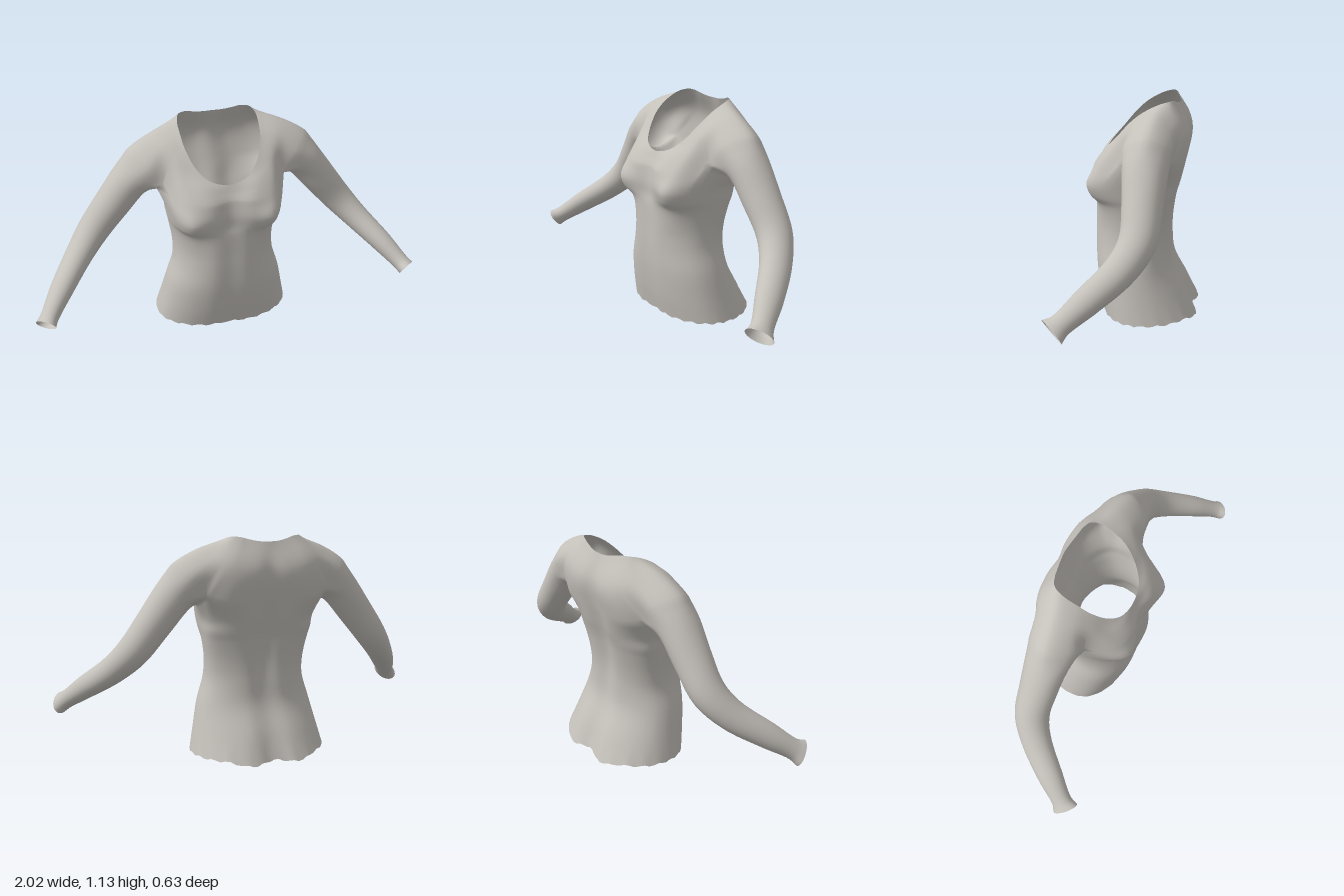
import * as THREE from 'three';
import { mergeGeometries, mergeVertices } from 'three/addons/utils/BufferGeometryUtils.js';

const N = 5; // subdivisions between neighbouring control points around a ring
const V = (x, y, z) => new THREE.Vector3(x, y, z);
const flip = (p) => V(-p.x, p.y, p.z);

// Left half of a ring (centre front to centre back) -> dense symmetric loop
function fullRing(half) {
  const pts = [...half, ...half.slice(1, -1).reverse().map(flip)];
  const curve = new THREE.CatmullRomCurve3(pts, true);
  const count = pts.length * N;
  return Array.from({ length: count }, (_, j) => curve.getPoint(j / count));
}

// Smooth rows through control rings, from ring index a to ring index b
function loft(rings, a, b, steps) {
  const columns = rings[0].map((_, j) => new THREE.CatmullRomCurve3(rings.map((r) => r[j])));
  const rows = [];
  for (let i = 0; i <= steps; i++) {
    const t = (a + ((b - a) * i) / steps) / (rings.length - 1);
    rows.push(columns.map((c) => c.getPoint(t)));
  }
  return rows;
}

// Surface from rows of points that close around
function skin(rows) {
  const w = rows[0].length, index = [];
  for (let i = 0; i < rows.length - 1; i++) {
    for (let j = 0; j < w; j++) {
      const k = (j + 1) % w, p = i * w, q = p + w;
      index.push(p + j, q + j, q + k, p + j, q + k, p + k);
    }
  }
  const g = new THREE.BufferGeometry().setFromPoints(rows.flat());
  g.setIndex(index);
  return g;
}

// Ring one step before the first, for a smooth start
const before = (r, next) => r.map((p, j) => p.clone().multiplyScalar(2).sub(next[j]));

// Yoke rings: front centre, front fold, over the shoulder, back fold, back centre
const neckRim = [
  [0, 0.88, 0.15], [0.09, 0.9, 0.135], [0.15, 0.95, 0.09], [0.19, 1.03, 0.02],
  [0.2, 1.08, -0.04], [0.2, 1.122, -0.12], [0.18, 1.135, -0.17], [0.14, 1.133, -0.19],
  [0.1, 1.122, -0.2], [0.05, 1.112, -0.21], [0, 1.11, -0.215],
];
const yokeMiddle = [
  [0, 0.845, 0.165], [0.12, 0.87, 0.165], [0.21, 0.92, 0.105], [0.26, 0.98, 0.045],
  [0.3, 1.045, -0.02], [0.33, 1.078, -0.11], [0.29, 1.04, -0.195], [0.23, 1.0, -0.245],
  [0.16, 0.98, -0.265], [0.08, 0.97, -0.27], [0, 0.97, -0.258],
];
const yokeEdge = [
  [0, 0.8, 0.185], [0.11, 0.8, 0.21], [0.22, 0.81, 0.18], [0.31, 0.85, 0.05],
  [0.39, 0.95, 0.025], [0.465, 1.0, -0.09], [0.4, 0.95, -0.2], [0.32, 0.85, -0.195],
  [0.22, 0.82, -0.235], [0.11, 0.82, -0.25], [0, 0.82, -0.235],
];
const underarm = V(0.335, 0.8, -0.075);

// Body levels: y, half width, side z, front z, front dip, bust fullness, back z, back dip
const levels = [
  [0.72, 0.297, -0.07, 0.225, 0.03, 1.03, -0.225, 0.02],
  [0.66, 0.288, -0.07, 0.215, 0.02, 1.0, -0.207, 0.02],
  [0.61, 0.28, -0.05, 0.203, 0.002, 0.86, -0.195, 0.02],
  [0.5, 0.265, -0.02, 0.203, 0, 0.78, -0.178, 0.018],
  [0.4, 0.268, 0, 0.205, 0, 0.78, -0.175, 0.012],
  [0.28, 0.303, 0, 0.202, 0, 0.8, -0.188, 0.005],
  [0.14, 0.335, -0.02, 0.186, 0, 0.8, -0.258, 0.012],
  [0.028, 0.36, -0.04, 0.165, 0, 0.8, -0.32, 0.026],
];
function bodyRing([y, w, side, front, dipF, full, back, dipB]) {
  const f = (k) => side + (front - side) * k;
  const b = (k) => side + (back - side) * k;
  return fullRing([
    V(0, y, front - dipF), V(0.36 * w, y, front), V(0.7 * w, y, f(full)),
    V(0.93 * w, y, f(full - 0.36)), V(w, y, side), V(0.93 * w, y, b(0.42)),
    V(0.7 * w, y, b(0.78)), V(0.34 * w, y, back), V(0, y, back + dipB),
  ]);
}

// Sleeve stations: centre x, y, z, half height, half depth
const stations = [
  [0.45, 0.85, -0.085, 0.1, 0.108], [0.55, 0.725, -0.085, 0.09, 0.096],
  [0.66, 0.585, -0.075, 0.08, 0.088], [0.75, 0.487, -0.01, 0.068, 0.078],
  [0.865, 0.378, 0.125, 0.056, 0.066], [0.94, 0.3, 0.225, 0.044, 0.054],
  [0.962, 0.278, 0.256, 0.045, 0.07],
];
function sleeveRing([x, y, z, high, deep], i) {
  const a = stations[Math.max(i - 1, 0)], b = stations[Math.min(i + 1, stations.length - 1)];
  const d = V(b[0] - a[0], b[1] - a[1], b[2] - a[2]).normalize();
  const up = V(-d.y, d.x, 0).normalize();
  const fore = d.clone().cross(up);
  return Array.from({ length: 6 * N }, (_, j) => {
    const t = (Math.PI * 2) / 3 - (Math.PI * 2 * j) / (6 * N);
    return V(x, y, z).addScaledVector(up, high * Math.cos(t)).addScaledVector(fore, deep * Math.sin(t));
  });
}

export function createModel() {
  const [rim, middle, edge] = [neckRim, yokeMiddle, yokeEdge].map((r) => fullRing(r.map((p) => V(...p))));
  const bodyRings = levels.map(bodyRing);
  const sleeveRings = stations.map(sleeveRing);

  // Uneven hem, lowest at the back
  bodyRings.at(-1).forEach((p, j) => {
    p.y += 0.005 * Math.sin(j * 1.9) - 0.022 * Math.max(0, (-p.z - 0.27) / 0.05);
    p.y = Math.max(p.y, 0);
  });

  // Yoke, its edge flowing on into the body and the sleeves
  const next = edge.map((_, j) => {
    if (j <= 3 * N) return bodyRings[0][j];
    if (j < 7 * N) return sleeveRings[0][j - 3 * N];
    if (j <= 13 * N) return bodyRings[0][j - 2 * N];
    if (j < 17 * N) return flip(sleeveRings[0][17 * N - j]);
    return bodyRings[0][j - 4 * N];
  });
  const yoke = loft([rim, middle, edge, next], 0, 2, 14);

  // Seam under the arm, front to back
  const arc = new THREE.CatmullRomCurve3([edge[3 * N], underarm, edge[7 * N]]).getPoints(2 * N);
  const inner = arc.slice(1, -1);

  // Body from the underarm to the hem
  const bodyTop = [
    ...edge.slice(0, 3 * N + 1), ...inner, ...edge.slice(7 * N, 13 * N + 1),
    ...inner.map(flip).reverse(), ...edge.slice(17 * N),
  ];
  const body = loft([before(bodyTop, bodyRings[0]), bodyTop, ...bodyRings], 1, levels.length + 1, 40);

  // Sleeves from the armhole to the cuff
  const armhole = [...edge.slice(3 * N, 7 * N + 1), ...inner.slice().reverse()];
  const leftSleeve = loft([before(armhole, sleeveRings[0]), armhole, ...sleeveRings], 1, stations.length + 1, 32);
  const rightSleeve = leftSleeve.map((row) => row.map(flip).reverse());

  // Joined so the shading runs smoothly over the seams
  const geometry = mergeVertices(mergeGeometries([yoke, body, leftSleeve, rightSleeve].map(skin)), 1e-4);
  geometry.computeVertexNormals();

  const cloth = new THREE.MeshStandardMaterial({ color: 0xc4c0ba, side: THREE.DoubleSide });
  cloth.name = 'grey cloth';
  const shirt = new THREE.Mesh(geometry, cloth);
  shirt.name = 'longSleeveShirt';
  const model = new THREE.Group();
  model.name = 'shirt';
  model.add(shirt);
  return model;
}
